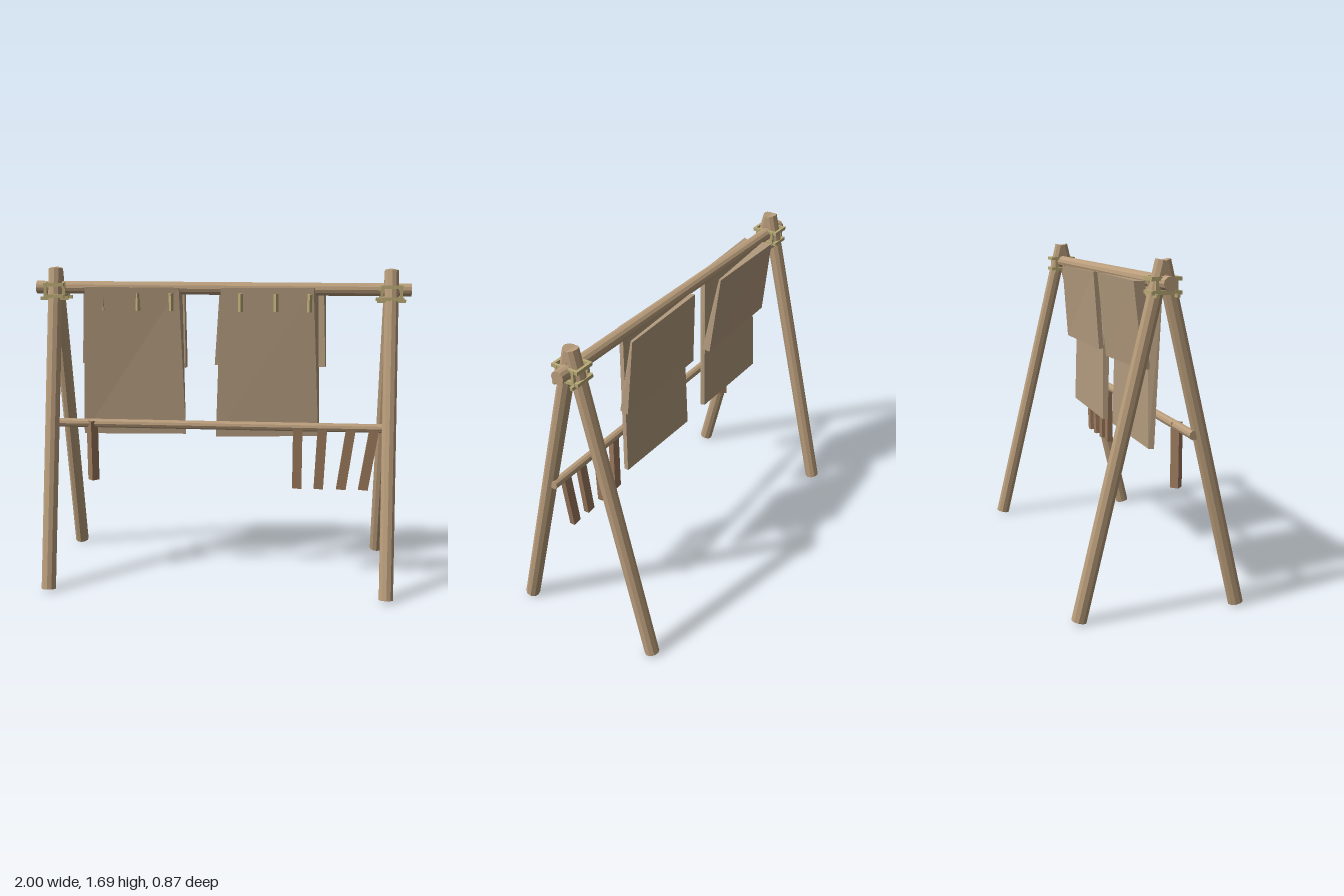
import * as THREE from 'three';

const mat = (name, color) => {
  const m = new THREE.MeshStandardMaterial({ color, flatShading: true });
  m.name = name;
  return m;
};

export function createModel() {
  const model = new THREE.Group();
  model.name = 'hideDryingRack';
  const wood = mat('wood', 0xb99d7b);
  const hide = mat('hide', 0xb39b7e);
  const strip = mat('driedStrip', 0x9c7a5d);
  const rope = mat('rope', 0xb9aa76);

  const V = (x, y, z) => new THREE.Vector3(x, y, z);
  const up = V(0, 1, 0);

  const add = (name, geo, material, parent = model) => {
    const mesh = new THREE.Mesh(geo, material);
    mesh.name = name;
    parent.add(mesh);
    return mesh;
  };

  // straight pole between two points
  const pole = (name, a, b, r, sides, material, parent = model) => {
    const mesh = add(name, new THREE.CylinderGeometry(r, r, a.distanceTo(b), sides), material, parent);
    mesh.position.copy(a).add(b).multiplyScalar(0.5);
    mesh.quaternion.setFromUnitVectors(up, b.clone().sub(a).normalize());
    return mesh;
  };

  // box given by two quads (bottom left, bottom right, top right, top left)
  const slab = (name, front, back, material) => {
    const c = [...front, ...back];
    const faces = [[0, 1, 2, 3], [5, 4, 7, 6], [4, 0, 3, 7], [1, 5, 6, 2], [3, 2, 6, 7], [4, 5, 1, 0]];
    const pos = [];
    for (const [p, q, r, s] of faces) for (const i of [p, q, r, p, r, s]) pos.push(...c[i]);
    const geo = new THREE.BufferGeometry();
    geo.setAttribute('position', new THREE.Float32BufferAttribute(pos, 3));
    geo.computeVertexNormals();
    return add(name, geo, material);
  };

  // A-frames with rope lashings
  for (const side of [-1, 1]) {
    const x = side * 0.895;
    for (const s of [-1, 1]) {
      pole(s > 0 ? 'frontLeg' : 'backLeg', V(x, 0.009, s * 0.4), V(x, 1.682, 0), 0.038, 10, wood);
    }
    const lashing = new THREE.Group();
    lashing.name = 'lashing';
    lashing.position.set(x, 1.58, 0);
    model.add(lashing);
    const bar = (w, h, d, px, py, pz) =>
      add('ropeTurn', new THREE.BoxGeometry(w, h, d), rope, lashing).position.set(px, py, pz);
    for (const s of [-1, 1]) {
      for (const y of [-0.04, 0.022]) {
        bar(0.11, 0.018, 0.014, 0, y, s * 0.066);
        bar(0.014, 0.018, 0.14, s * 0.048, y, 0);
      }
      bar(0.016, 0.075, 0.014, s * 0.05, -0.01, 0.046);
      bar(0.016, 0.075, 0.014, s * 0.05, -0.01, -0.046);
      bar(0.15, 0.018, 0.014, 0, -0.052, s * 0.05);
    }
  }

  // horizontal poles
  pole('topBeam', V(-1, 1.583, 0), V(1, 1.583, 0), 0.034, 12, wood);
  pole('lowerRail', V(-0.92, 0.87, 0.155), V(0.92, 0.87, 0.155), 0.023, 10, wood);

  // front hides
  slab('frontHideRight',
    [[-0.762, 0.778, 0.015], [-0.195, 0.785, 0.01], [-0.225, 1.588, 0.038], [-0.728, 1.592, 0.064]],
    [[-0.755, 0.78, -0.012], [-0.2, 0.787, -0.015], [-0.21, 1.585, 0], [-0.7, 1.588, 0]], hide);
  slab('frontHideLeft',
    [[-0.03, 0.773, 0.012], [0.53, 0.788, 0.012], [0.49, 1.592, 0.042], [0, 1.59, 0.04]],
    [[-0.025, 0.775, -0.015], [0.535, 0.79, -0.015], [0.515, 1.588, 0], [0.005, 1.588, 0]], hide);

  // back hides
  slab('backHideRight',
    [[-0.765, 1.167, -0.012], [-0.195, 1.152, 0], [-0.21, 1.585, -0.085], [-0.755, 1.58, -0.035]],
    [[-0.767, 1.165, -0.045], [-0.19, 1.15, -0.048], [-0.205, 1.587, -0.1], [-0.757, 1.582, -0.092]], hide);
  slab('backHideLeft',
    [[-0.038, 1.167, -0.015], [0.56, 1.167, 0], [0.545, 1.575, -0.067], [-0.012, 1.575, -0.035]],
    [[-0.04, 1.165, -0.04], [0.565, 1.165, -0.05], [0.555, 1.577, -0.084], [-0.015, 1.577, -0.064]], hide);

  // pegs holding the hides
  for (const x of [-0.63, -0.445, -0.265, 0.105, 0.293, 0.47]) {
    pole('peg', V(x, 1.465, 0.043), V(x, 1.56, 0.043), 0.013, 4, rope);
  }

  // strips hanging from the lower rail
  pole('wideStrip', V(-0.685, 0.556, 0.16), V(-0.685, 0.885, 0.16), 0.031, 4, strip);
  for (const [bottom, top] of [[0.42, 0.42], [0.535, 0.55], [0.655, 0.7], [0.772, 0.822]]) {
    slab('hangingStrip',
      [[bottom - 0.025, 0.537, 0.175], [bottom + 0.025, 0.533, 0.175], [top + 0.025, 0.87, 0.175], [top - 0.025, 0.87, 0.175]],
      [[bottom - 0.025, 0.537, 0.145], [bottom + 0.025, 0.533, 0.145], [top + 0.025, 0.87, 0.145], [top - 0.025, 0.87, 0.145]], strip);
  }
  return model;
}
